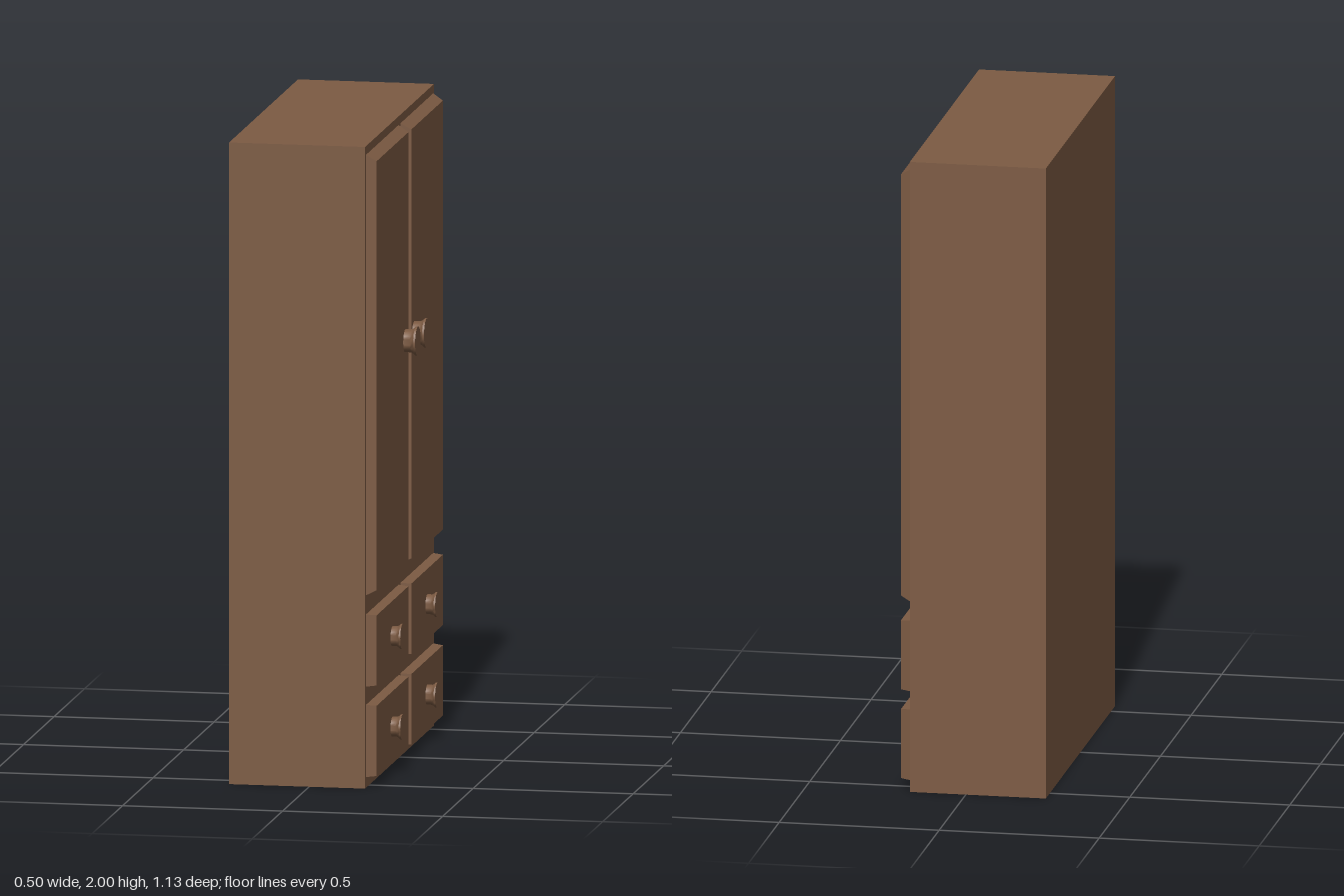
import * as THREE from 'three';
import { toCreasedNormals } from 'three/addons/utils/BufferGeometryUtils.js';

const BODY_FRONT = 0.175;
const PANEL_FRONT = 0.207;
const wood = new THREE.MeshStandardMaterial({ color: 0x7d5b43 });

// Panel whose outer (+x) face is inset by the given bevels
function panel(height, width, bevelBottom, bevelTop, bevelSide) {
  const depth = PANEL_FRONT - BODY_FRONT;
  const geo = new THREE.BoxGeometry(depth, height, width);
  const p = geo.attributes.position;
  for (let i = 0; i < p.count; i++) {
    if (p.getX(i) < 0) continue;
    const y = p.getY(i), z = p.getZ(i);
    p.setY(i, y > 0 ? y - bevelTop : y + bevelBottom);
    p.setZ(i, z - Math.sign(z) * bevelSide);
  }
  const flat = geo.toNonIndexed();
  flat.computeVertexNormals();
  return flat;
}

// Round flared knob pointing along +x
function knob(radius, length) {
  const neck = radius * 0.79;
  const pts = [
    [0, 0], [neck, 0], [neck, length * 0.5], [radius * 0.87, length * 0.68],
    [radius, length * 0.84], [radius, length], [0, length],
  ].map(([r, y]) => new THREE.Vector2(r, y));
  const geo = new THREE.LatheGeometry(pts, 24);
  geo.rotateZ(-Math.PI / 2);
  return toCreasedNormals(geo, 0.7);
}

export function createModel() {
  const group = new THREE.Group();
  const add = (name, geo, x, y, z) => {
    const mesh = new THREE.Mesh(geo, wood);
    mesh.name = name;
    mesh.position.set(x, y, z);
    group.add(mesh);
  };

  // Cabinet carcass
  add('cabinetBody', new THREE.BoxGeometry(0.425, 2, 1.13), -0.0375, 1, 0);

  const panelX = (BODY_FRONT + PANEL_FRONT) / 2;
  const panelZ = 0.2835, panelWidth = 0.536;
  const doorGeo = panel(1.373, panelWidth, 0.016, 0.02, 0.009);
  const drawerGeo = panel(0.225, panelWidth, 0.003, 0.003, 0.009);
  const doorKnobGeo = knob(0.045, 0.039);
  const drawerKnobGeo = knob(0.039, 0.032);

  for (const side of [-1, 1]) {
    const label = side > 0 ? 'PlusZ' : 'MinusZ';
    // Tall doors with knobs near the centre line
    add('door' + label, doorGeo, panelX, 1.2865, side * panelZ);
    add('doorKnob' + label, doorKnobGeo, PANEL_FRONT, 1.312, side * 0.073);

    // Two rows of drawers
    [['lower', 0.146], ['upper', 0.428]].forEach(([row, y]) => {
      add(row + 'Drawer' + label, drawerGeo, panelX, y, side * panelZ);
      add(row + 'DrawerKnob' + label, drawerKnobGeo, PANEL_FRONT, y, side * 0.286);
    });
  }
  return group;
}
